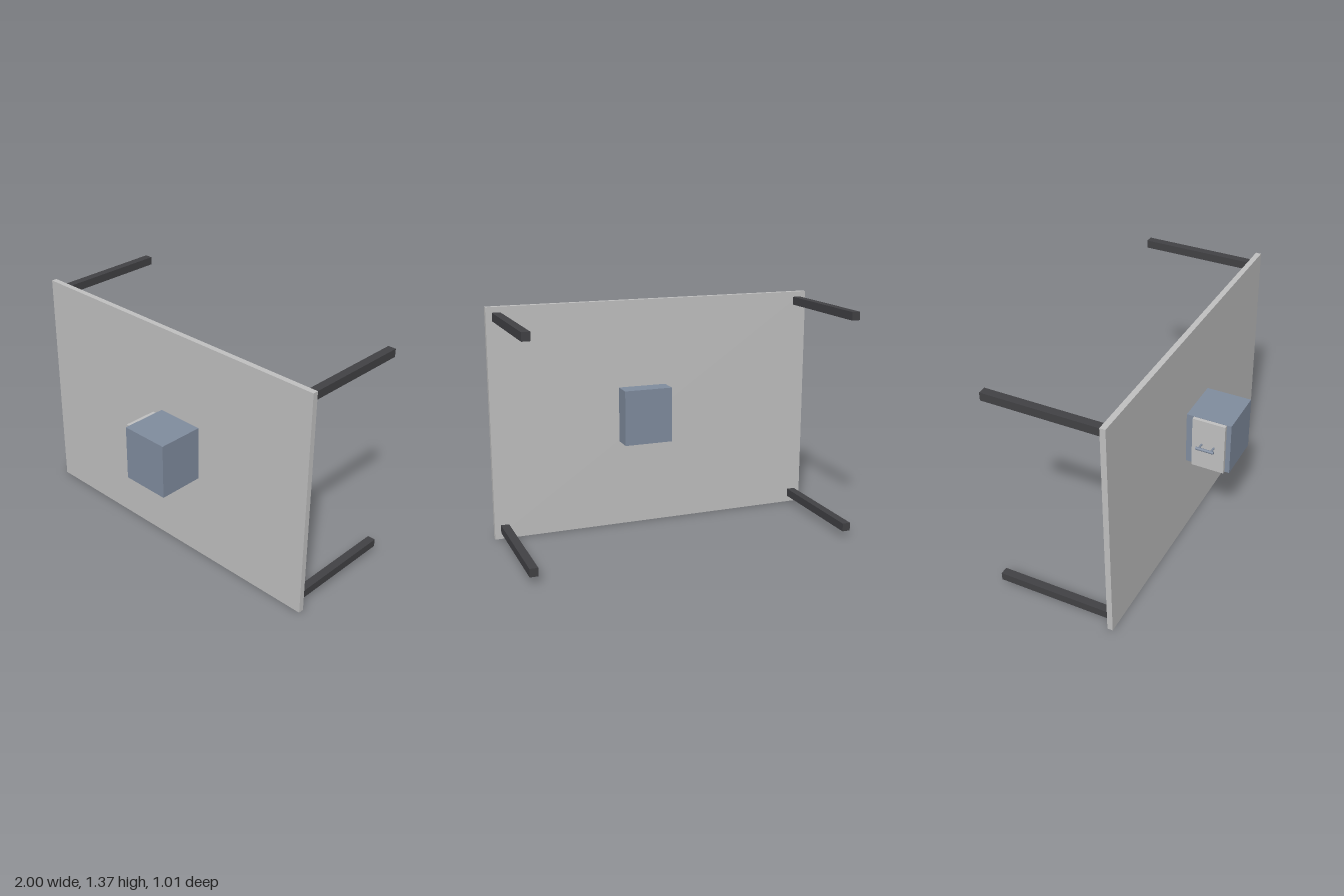
import * as THREE from 'three';

const mat = (name, color) => {
  const m = new THREE.MeshStandardMaterial({ color });
  m.name = name;
  return m;
};

export function createModel() {
  const model = new THREE.Group();
  model.name = 'deskWithDrawerBox';
  const grey = mat('lightGrey', 0xc0c0c0);
  const blue = mat('slateBlue', 0x808c9e);
  const dark = mat('charcoal', 0x414144);

  const add = (name, geometry, material, x, y, z) => {
    const mesh = new THREE.Mesh(geometry, material);
    mesh.name = name;
    mesh.position.set(x, y, z);
    model.add(mesh);
    return mesh;
  };
  // Box given by its [min, max] along each axis
  const addBox = (name, material, [x0, x1], [y0, y1], [z0, z1]) =>
    add(name, new THREE.BoxGeometry(x1 - x0, y1 - y0, z1 - z0), material,
      (x0 + x1) / 2, (y0 + y1) / 2, (z0 + z1) / 2);

  // Upright table top
  addBox('tableTop', grey, [-1, 1], [0, 1.367], [0.197, 0.23]);

  // Four square legs reaching backwards
  for (const x of [-0.94, 0.94]) {
    for (const y of [0.061, 1.311]) {
      addBox('leg', dark, [x - 0.024, x + 0.024], [y - 0.024, y + 0.024], [-0.503, 0.197]);
    }
  }

  // Cabinet passing through the top, with its drawer front on the right side
  addBox('cabinet', blue, [-0.065, 0.227], [0.521, 0.851], [0.083, 0.503]);
  addBox('drawerFront', grey, [-0.087, -0.065], [0.523, 0.849], [0.275, 0.475]);

  // Round bar handle on two posts
  const bar = add('handleBar', new THREE.CylinderGeometry(0.009, 0.009, 0.11, 16), blue, -0.131, 0.686, 0.373);
  bar.rotation.x = Math.PI / 2;
  for (const z of [0.335, 0.411]) {
    const post = add('handlePost', new THREE.CylinderGeometry(0.006, 0.006, 0.044, 12), blue, -0.109, 0.686, z);
    post.rotation.z = Math.PI / 2;
  }
  return model;
}
